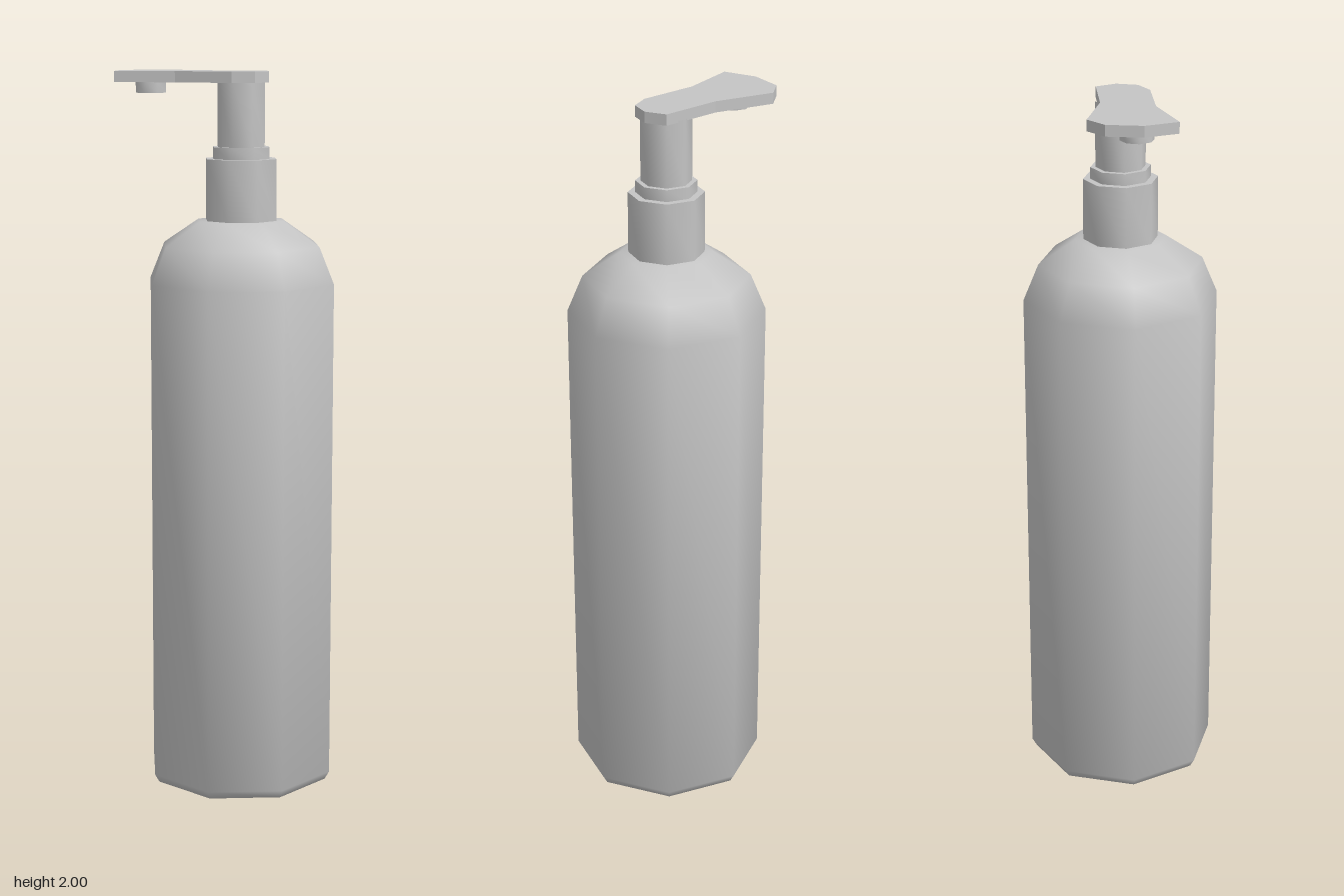
import * as THREE from 'three';
import { toCreasedNormals } from 'three/addons/utils/BufferGeometryUtils.js';

const AXIS_X = 0.042; // bottle axis, offset because the spout overhangs

export function createModel() {
  const group = new THREE.Group();
  group.name = 'pumpBottle';
  const grey = new THREE.MeshStandardMaterial({ color: 0xc4c4c4 });
  grey.name = 'plain grey';

  function add(name, geometry, x = 0, z = 0) {
    const mesh = new THREE.Mesh(geometry, grey);
    mesh.name = name;
    mesh.position.set(x, 0, z);
    group.add(mesh);
  }

  // Eight-sided turned part: smooth around, sharp at the rims
  function turned(name, profile, x = AXIS_X, z = 0) {
    const points = profile.map(([r, y]) => new THREE.Vector2(r, y));
    add(name, toCreasedNormals(new THREE.LatheGeometry(points, 8), 0.95), x, z);
  }

  // Bottle with rounded base and sloping shoulders
  turned('bottle', [
    [0, 0.005], [0.225, 0.005], [0.255, 0.012], [0.268, 0.035],
    [0.268, 1.43], [0.226, 1.53], [0.125, 1.597], [0, 1.6],
  ]);

  // Pump collar, ring and stem
  turned('collar', [[0.102, 1.59], [0.102, 1.765], [0, 1.765]]);
  turned('collarRing', [[0.082, 1.76], [0.082, 1.797], [0, 1.797]]);
  turned('stem', [[0.068, 1.79], [0.068, 1.975]]);

  // Flat pump head with a flared spout end, outlined as x, z
  const outline = [
    [0.122, 0], [0.1, -0.058], [-0.07, -0.07], [-0.232, -0.127], [-0.289, -0.088],
    [-0.313, 0.007], [-0.289, 0.1], [-0.125, 0.067], [0.042, 0.079], [0.1, 0.056],
  ];
  const shape = new THREE.Shape(outline.map(([x, z]) => new THREE.Vector2(x, -z)));
  const head = new THREE.ExtrudeGeometry(shape, { depth: 0.03, bevelEnabled: false });
  head.rotateX(-Math.PI / 2).translate(0, 1.97, 0);
  add('pumpHead', head);

  // Hollow nozzle beneath the spout end
  turned('nozzle', [
    [0, 1.96], [0.018, 1.96], [0.018, 1.94], [0.045, 1.94], [0.045, 1.972],
  ], -0.22, 0.003);

  return group;
}
